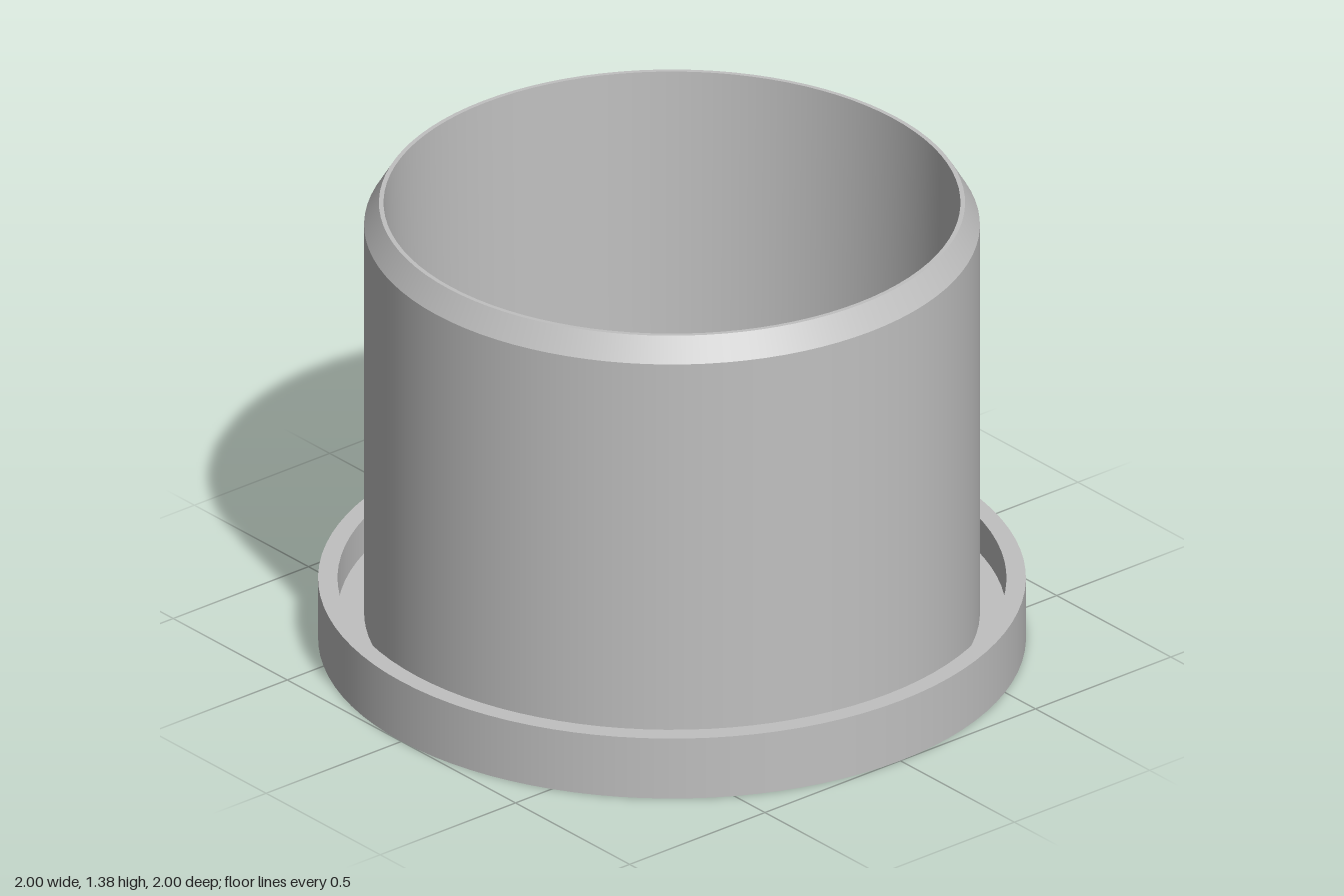
import * as THREE from 'three';
import { mergeGeometries } from 'three/addons/utils/BufferGeometryUtils.js';

const SEGMENTS = 96;

// Turn a profile around y, with a sharp edge at every profile point.
// Profiles run counter-clockwise (out along the bottom, up the outside).
function turned(name, points, material) {
  const bands = [];
  for (let i = 0; i < points.length - 1; i++) {
    const pair = [points[i], points[i + 1]].map(([r, y]) => new THREE.Vector2(r, y));
    bands.push(new THREE.LatheGeometry(pair, SEGMENTS));
  }
  const mesh = new THREE.Mesh(mergeGeometries(bands), material);
  mesh.name = name;
  return mesh;
}

export function createModel() {
  const plastic = new THREE.MeshStandardMaterial({ color: 0xc0c0c0 });
  plastic.name = 'grey plastic';

  const floorY = 0.08;
  const group = new THREE.Group();
  group.name = 'flangedCap';

  group.add(
    // Base disc with a raised outer rim and a gutter around the sleeve
    turned('flange', [
      [0, 0], [1, 0], [1, 0.19], [0.945, 0.19], [0.945, floorY], [0.87, floorY],
    ], plastic),
    // Hollow sleeve with a chamfered lip and a slightly tapered bore
    turned('sleeve', [
      [0.87, floorY], [0.87, 1.31], [0.828, 1.38], [0.815, 1.38], [0.79, floorY],
    ], plastic),
    // Floor inside the sleeve
    turned('innerFloor', [[0.79, floorY], [0.042, floorY]], plastic),
    // Small moulding nub in the middle of the floor
    turned('centreNub', [[0.042, floorY], [0.031, floorY + 0.03], [0, floorY + 0.03]], plastic),
  );
  return group;
}
